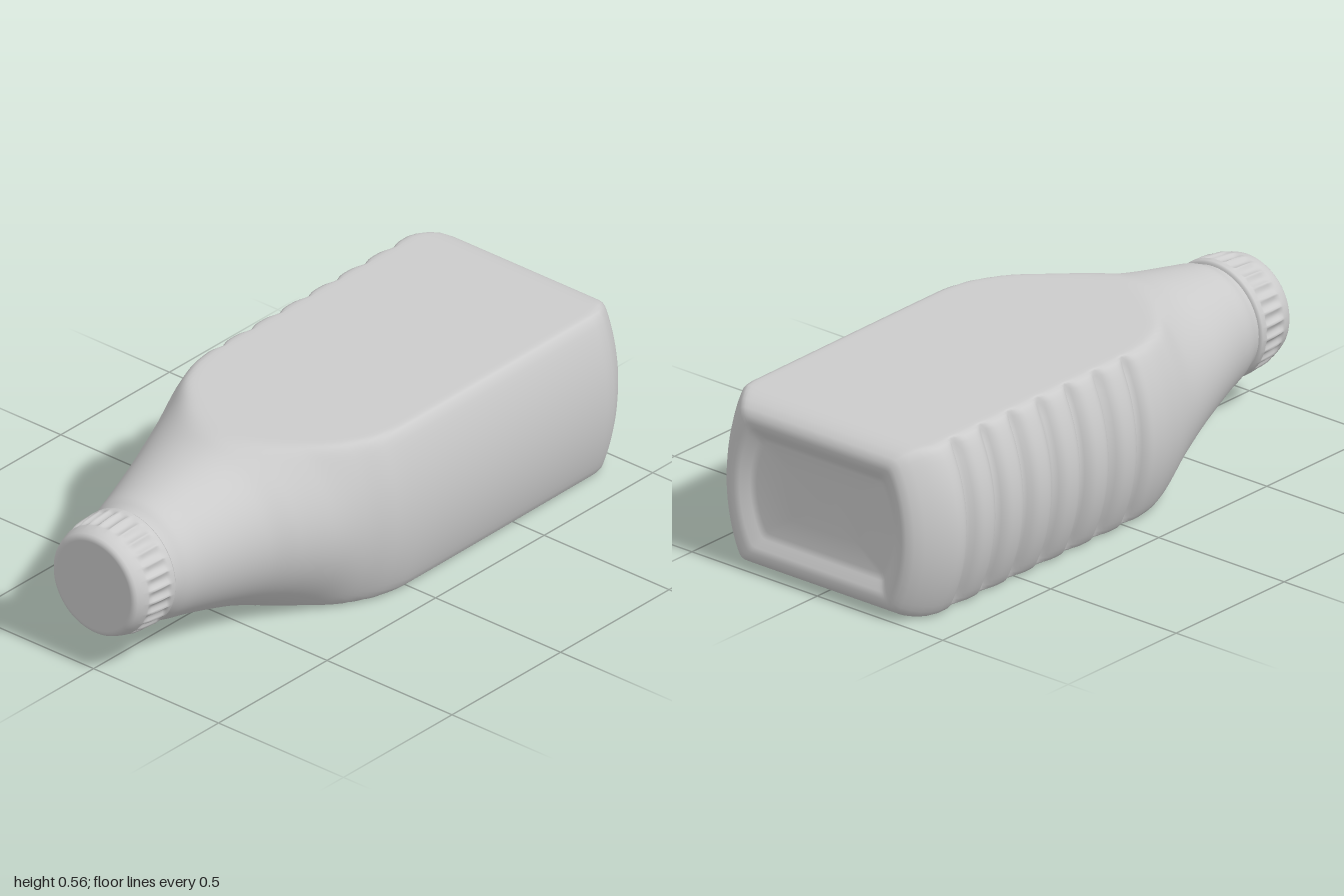
import * as THREE from 'three';

const smooth = THREE.MathUtils.smoothstep;

// Closed skin over rings along z; point(ring, angle) gives [x, y, z]
function loft(rings, sides, point) {
  const pos = [], index = [];
  rings.forEach((ring, i) => {
    for (let j = 0; j < sides; j++) {
      pos.push(...point(ring, (j / sides) * Math.PI * 2));
      if (i === rings.length - 1) continue;
      const k = (j + 1) % sides;
      const a = i * sides + j, b = i * sides + k;
      index.push(a, b, b + sides, a, b + sides, a + sides);
    }
  });
  const geo = new THREE.BufferGeometry();
  geo.setAttribute('position', new THREE.Float32BufferAttribute(pos, 3));
  geo.setIndex(index);
  geo.computeVertexNormals();
  return geo;
}

// Smooth monotone interpolation of rows by their first column
function sampleRows(rows, z) {
  let i = 0;
  while (i < rows.length - 2 && z > rows[i + 1][0]) i++;
  const slope = (n, c) => (rows[n + 1][c] - rows[n][c]) / (rows[n + 1][0] - rows[n][0]);
  const tangent = (n, c) => {
    if (n === 0) return slope(0, c);
    if (n === rows.length - 1) return slope(n - 1, c);
    const p = slope(n - 1, c), q = slope(n, c);
    return p * q <= 0 ? 0 : (2 * p * q) / (p + q);
  };
  const d = rows[i + 1][0] - rows[i][0], t = (z - rows[i][0]) / d;
  return rows[i].map((v, c) => c === 0 ? z :
    v * (1 + 2 * t) * (1 - t) ** 2 + tangent(i, c) * d * t * (1 - t) ** 2 +
    rows[i + 1][c] * t * t * (3 - 2 * t) + tangent(i + 1, c) * d * t * t * (t - 1));
}

// Rows: z, half width -x, half width +x, bulge height -x, bulge height +x, flat half height, centre y
const baseRows = [
  [-0.965, 0, 0, 0, 0, 0.28, 0.28],
  [-0.965, 0.15, 0.15, 0.15, 0.15, 0.08, 0.28],
  [-0.967, 0.27, 0.27, 0.28, 0.28, 0.15, 0.28],
  [-0.975, 0.29, 0.29, 0.31, 0.31, 0.17, 0.28],
  [-0.995, 0.315, 0.315, 0.36, 0.36, 0.195, 0.28],
  [-1.0, 0.335, 0.335, 0.4, 0.4, 0.215, 0.28],
  [-0.998, 0.352, 0.355, 0.43, 0.44, 0.235, 0.28],
  [-0.985, 0.373, 0.375, 0.45, 0.48, 0.253, 0.28],
  [-0.96, 0.395, 0.395, 0.47, 0.52, 0.268, 0.28],
  [-0.93, 0.415, 0.415, 0.49, 0.55, 0.277, 0.28],
  [-0.9, 0.432, 0.432, 0.5, 0.57, 0.28, 0.28],
];
const bodyRows = [
  [-0.87, 0.443, 0.437, 0.5, 0.58, 0.28, 0.28],
  [0.0, 0.443, 0.443, 0.5, 0.58, 0.28, 0.28],
  [0.1, 0.435, 0.438, 0.49, 0.54, 0.28, 0.28],
  [0.2, 0.412, 0.412, 0.45, 0.47, 0.28, 0.28],
  [0.32, 0.373, 0.373, 0.35, 0.35, 0.28, 0.281],
  [0.42, 0.338, 0.325, 0.292, 0.292, 0.285, 0.283],
  [0.5, 0.307, 0.28, 0.262, 0.262, 0.32, 0.284],
  [0.6, 0.268, 0.24, 0.238, 0.238, 0.4, 0.286],
  [0.72, 0.222, 0.207, 0.213, 0.213, 0.4, 0.288],
  [0.79, 0.198, 0.193, 0.198, 0.198, 0.4, 0.288],
  [0.815, 0.187, 0.185, 0.186, 0.186, 0.4, 0.288],
  [0.85, 0.175, 0.175, 0.175, 0.175, 0.4, 0.288],
];

// Grip grooves pressed into the -x side
const PITCH = 0.131;
function gripDepth(z, angle) {
  if (z < -0.87 || z > 0.05) return 0;
  const valley = (1 - Math.abs(Math.sin((Math.PI * z) / PITCH))) ** 1.6;
  const side = smooth(-Math.cos(angle), 0.77, 0.89);
  return 0.036 * valley * side * smooth(z, -0.87, -0.82);
}

function bottlePoint([z, wl, wr, vl, vr, h, cy], angle) {
  const c = Math.cos(angle), s = Math.sin(angle);
  const v = (vl + vr) / 2 + ((vr - vl) / 2) * c;
  const y = v * s;
  // bulged section softly cut by the flat broad faces
  const flat = y / (1 + Math.abs(y / h) ** 24) ** (1 / 24);
  return [(c < 0 ? wl : wr) * c + gripDepth(z, angle), cy + flat, z];
}

// Cap rows: z, radius, groove depth
const capRows = [
  [0.832, 0.165, 0], [0.834, 0.184, 0], [0.842, 0.19, 0], [0.858, 0.191, 0],
  [0.868, 0.191, 0.009], [0.9, 0.19, 0.011], [0.93, 0.187, 0.011],
  [0.945, 0.183, 0.006], [0.955, 0.18, 0], [0.975, 0.174, 0],
  [0.99, 0.168, 0], [0.997, 0.162, 0], [1.0, 0.154, 0], [1.0, 0.148, 0], [1.0, 0, 0],
];
const KNURLS = 28;

function capPoint([z, r, groove], angle) {
  const scallop = Math.abs(Math.cos((angle * KNURLS) / 2));
  const radius = r - groove * scallop;
  return [radius * Math.cos(angle), 0.289 + radius * Math.sin(angle), z];
}

export function createModel() {
  const group = new THREE.Group();
  const material = new THREE.MeshStandardMaterial({ color: 0xcccccc });

  // Bottle with recessed base, flat broad faces, shoulder and neck
  const rings = [...baseRows];
  const steps = 150;
  for (let i = 0; i <= steps; i++) {
    rings.push(sampleRows(bodyRows, -0.87 + (1.72 * i) / steps));
  }
  const bottle = new THREE.Mesh(loft(rings, 128, bottlePoint), material);
  bottle.name = 'bottle';

  // Knurled screw cap
  const cap = new THREE.Mesh(loft(capRows, KNURLS * 8, capPoint), material);
  cap.name = 'cap';

  group.add(bottle, cap);
  return group;
}
